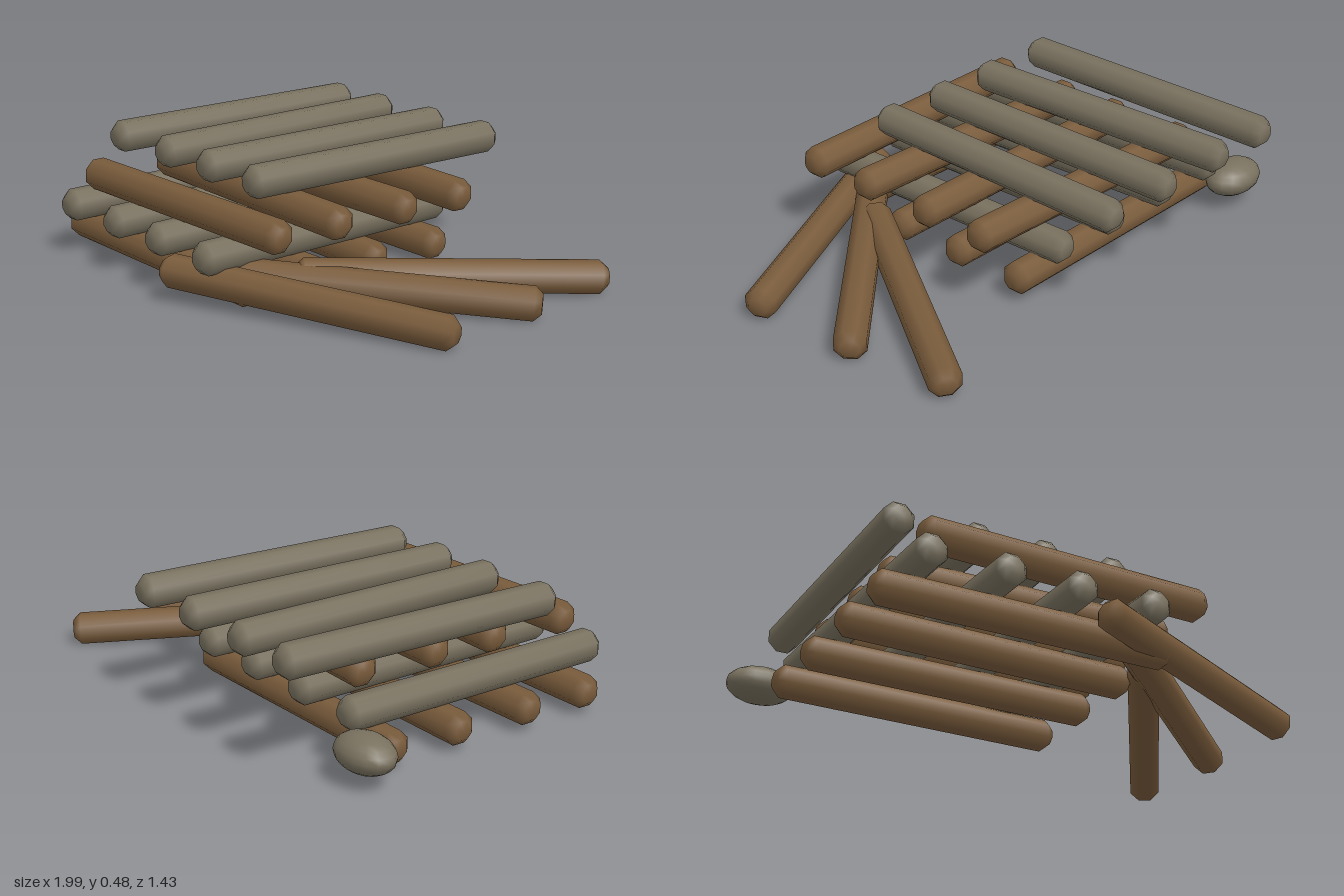
import * as THREE from 'three';

const brown = new THREE.MeshStandardMaterial({ color: 0x7a5c3c });
brown.name = 'brown wood';
const grey = new THREE.MeshStandardMaterial({ color: 0x79715f });
grey.name = 'weathered grey wood';

const RADIUS = 0.0622; // corner radius of the eight-sided log
const BEVEL = 0.028;

// Eight-sided log with bevelled ends, running between two end points
function makeLog(name, material, from, to) {
  const a = new THREE.Vector3(...from);
  const b = new THREE.Vector3(...to);
  const h = a.distanceTo(b) / 2;
  const profile = [
    [0, -h], [RADIUS * 0.58, -h], [RADIUS, -h + BEVEL],
    [RADIUS, h - BEVEL], [RADIUS * 0.58, h], [0, h],
  ].map(([r, y]) => new THREE.Vector2(r, y));
  const geometry = new THREE.LatheGeometry(profile, 8, Math.PI / 8);
  geometry.rotateX(Math.PI / 2);
  const log = new THREE.Mesh(geometry, material);
  log.name = name;
  log.position.copy(a).add(b).multiplyScalar(0.5);
  log.lookAt(b);
  return log;
}

export function createModel() {
  const model = new THREE.Group();
  model.name = 'logPile';

  // Lengthwise brown layers: z at the left end and the right end of each log
  const brownLayers = [
    { name: 'bottomLog', y: 0.09, x: [-0.865, 0.275], z: [[-0.338, -0.345], [-0.06, -0.055], [0.25, 0.233], [0.52, 0.525]] },
    { name: 'upperLog', y: 0.318, x: [-0.705, 0.437], z: [[-0.355, -0.315], [-0.04, -0.053], [0.218, 0.25], [0.545, 0.513]] },
  ];
  for (const { name, y, x, z } of brownLayers) {
    z.forEach(([z0, z1], i) => model.add(makeLog(name + (i + 1), brown, [x[0], y, z0], [x[1], y, z1])));
  }

  // Crosswise grey layers: x at the back end and the front end of each log
  const greyLayers = [
    { name: 'lowerCrossLog', y: 0.204, z: [-0.475, 0.672], x: [[-0.74, -0.706], [-0.456, -0.412], [-0.163, -0.136], [0.122, 0.155]] },
    { name: 'topCrossLog', y: 0.433, z: [-0.715, 0.435], x: [[-0.718, -0.724], [-0.455, -0.416], [-0.145, -0.15], [0.153, 0.127]] },
  ];
  for (const { name, y, z, x } of greyLayers) {
    x.forEach(([x0, x1], i) => model.add(makeLog(name + (i + 1), grey, [x0, y, z[0]], [x1, y, z[1]])));
  }

  // Loose logs fanned out beside the pile
  const loose = [
    [[0.285, 0.118, 0.345], [0.88, 0.065, -0.61]],
    [[0.08, 0.118, 0.55], [0.945, 0.065, -0.215]],
    [[-0.06, 0.118, 0.667], [0.98, 0.065, 0.217]],
  ];
  loose.forEach(([a, b], i) => model.add(makeLog('looseLog' + (i + 1), brown, a, b)));

  // Flat stone at the back corner
  const stone = new THREE.Mesh(new THREE.SphereGeometry(1, 16, 10), grey);
  stone.name = 'stone';
  stone.scale.set(0.13, 0.068, 0.092);
  stone.position.set(-0.87, 0.12, -0.48);
  model.add(stone);

  return model;
}
